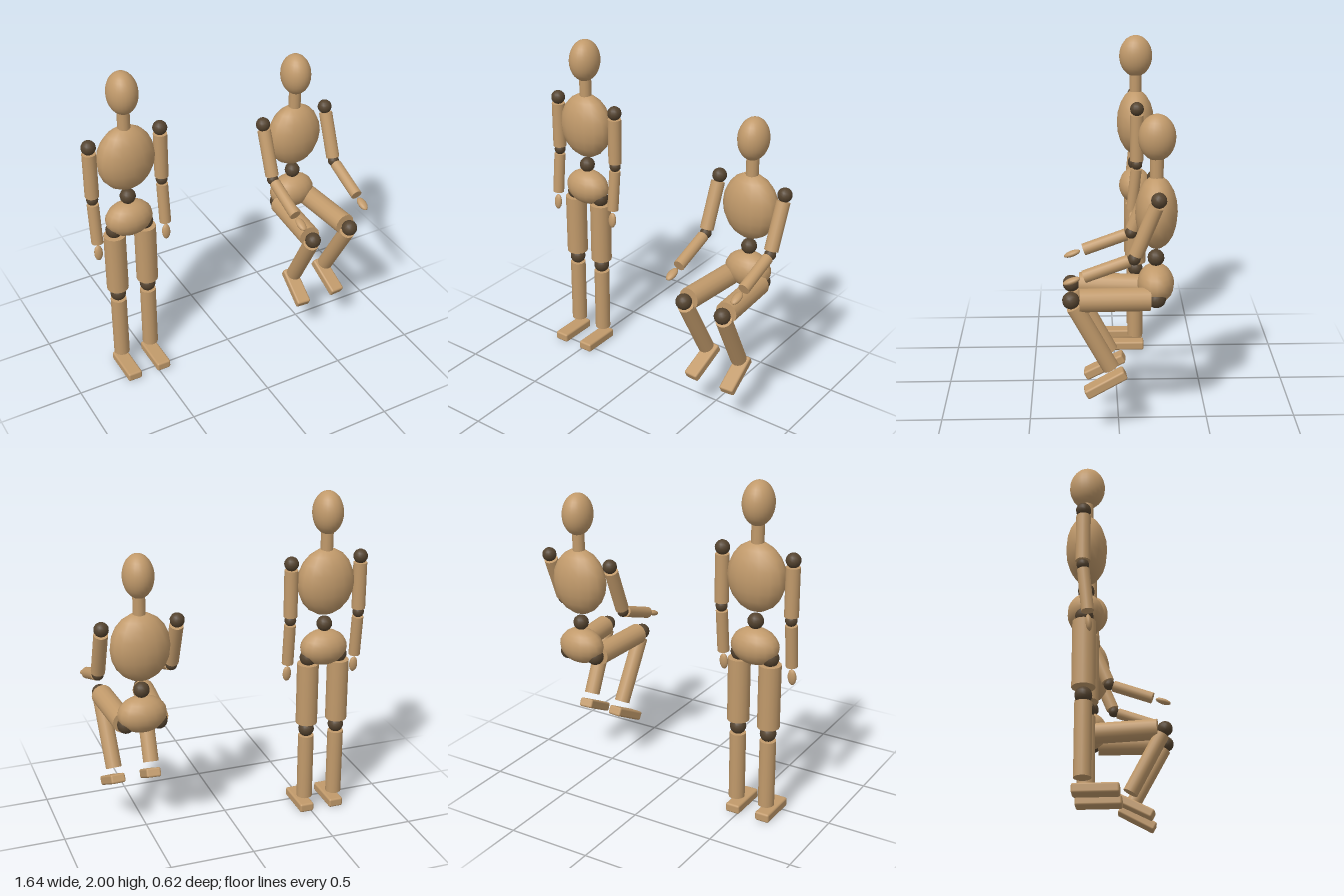
import * as THREE from 'three';
import { RoundedBoxGeometry } from 'three/addons/geometries/RoundedBoxGeometry.js';

const wood = new THREE.MeshStandardMaterial({ color: 0xc19a6b });
wood.name = 'wood';
const darkWood = new THREE.MeshStandardMaterial({ color: 0x54432f });
darkWood.name = 'dark wood';

function add(parent, name, geometry, material, x = 0, y = 0, z = 0) {
  const mesh = new THREE.Mesh(geometry, material);
  mesh.name = name;
  mesh.position.set(x, y, z);
  parent.add(mesh);
  return mesh;
}

function joint(parent, name, r, y = 0) {
  return add(parent, name, new THREE.SphereGeometry(r, 14, 10), darkWood, 0, y);
}

function ellipsoid(parent, name, y, rx, ry, rz, ws, hs) {
  const geometry = new THREE.SphereGeometry(1, ws, hs).scale(rx, ry, rz);
  return add(parent, name, geometry, wood, 0, y);
}

// Straight dowel hanging down the local y axis from top to bottom
function dowel(parent, name, r, top, bottom, sides = 16) {
  const geometry = new THREE.CylinderGeometry(r, r, top - bottom, sides);
  return add(parent, name, geometry, wood, 0, (top + bottom) / 2);
}

function pivot(parent, name, x, y, bend, yaw = 0) {
  const group = new THREE.Group();
  group.name = name;
  group.position.set(x, y, 0);
  group.rotation.set(bend, yaw, 0, 'YXZ');
  parent.add(group);
  return group;
}

function buildArm(figure, side, label, pose) {
  const arm = pivot(figure, label + 'Arm', side * 0.214, 1.595, pose.shoulder);
  joint(arm, 'shoulderJoint', 0.042);
  dowel(arm, 'upperArm', 0.04, -0.037, -0.317);
  const lower = pivot(arm, label + 'LowerArm', 0, -0.34, pose.elbow);
  joint(lower, 'elbowJoint', 0.034);
  dowel(lower, 'forearm', 0.034, -0.03, -0.28);
  ellipsoid(lower, 'hand', -0.349, 0.026, 0.048, 0.017, 14, 10);
}

function buildLeg(figure, side, label, pose) {
  const leg = pivot(figure, label + 'Leg', side * 0.096, 1.007, pose.hip, side * pose.splay);
  joint(leg, 'hipJoint', 0.05);
  dowel(leg, 'thigh', 0.064, -0.036, -0.417);
  const lower = pivot(leg, label + 'LowerLeg', 0, -0.461, pose.knee);
  joint(lower, 'kneeJoint', 0.047);
  dowel(lower, 'shin', 0.047, -0.041, -0.453);
  const foot = new RoundedBoxGeometry(0.088, 0.055, 0.245, 2, 0.012);
  add(lower, 'foot', foot, wood, 0, -0.5185, 0.068);
}

function buildFigure(name, x, y, z, pose) {
  const figure = new THREE.Group();
  figure.name = name;
  figure.position.set(x, y, z);
  // Head, trunk and waist
  ellipsoid(figure, 'head', 1.875, 0.087, 0.125, 0.1, 24, 16);
  dowel(figure, 'neck', 0.036, 1.79, 1.62, 12);
  ellipsoid(figure, 'chest', 1.467, 0.172, 0.2, 0.114, 16, 10);
  joint(figure, 'waistJoint', 0.046, 1.209);
  ellipsoid(figure, 'pelvis', 1.063, 0.143, 0.108, 0.1, 16, 12);
  // Limbs
  for (const [side, label] of [[1, 'left'], [-1, 'right']]) {
    buildArm(figure, side, label, pose);
    buildLeg(figure, side, label, pose);
  }
  return figure;
}

export function createModel() {
  const model = new THREE.Group();
  model.name = 'jointedMannequins';
  model.add(
    buildFigure('standingMannequin', -0.566, 0, -0.135,
      { shoulder: 0, elbow: -0.1, hip: 0, knee: 0, splay: 0 }),
    buildFigure('seatedMannequin', 0.561, -0.222, -0.2,
      { shoulder: -0.38, elbow: -0.84, hip: -1.59, knee: 2.08, splay: 0.07 })
  );
  return model;
}
